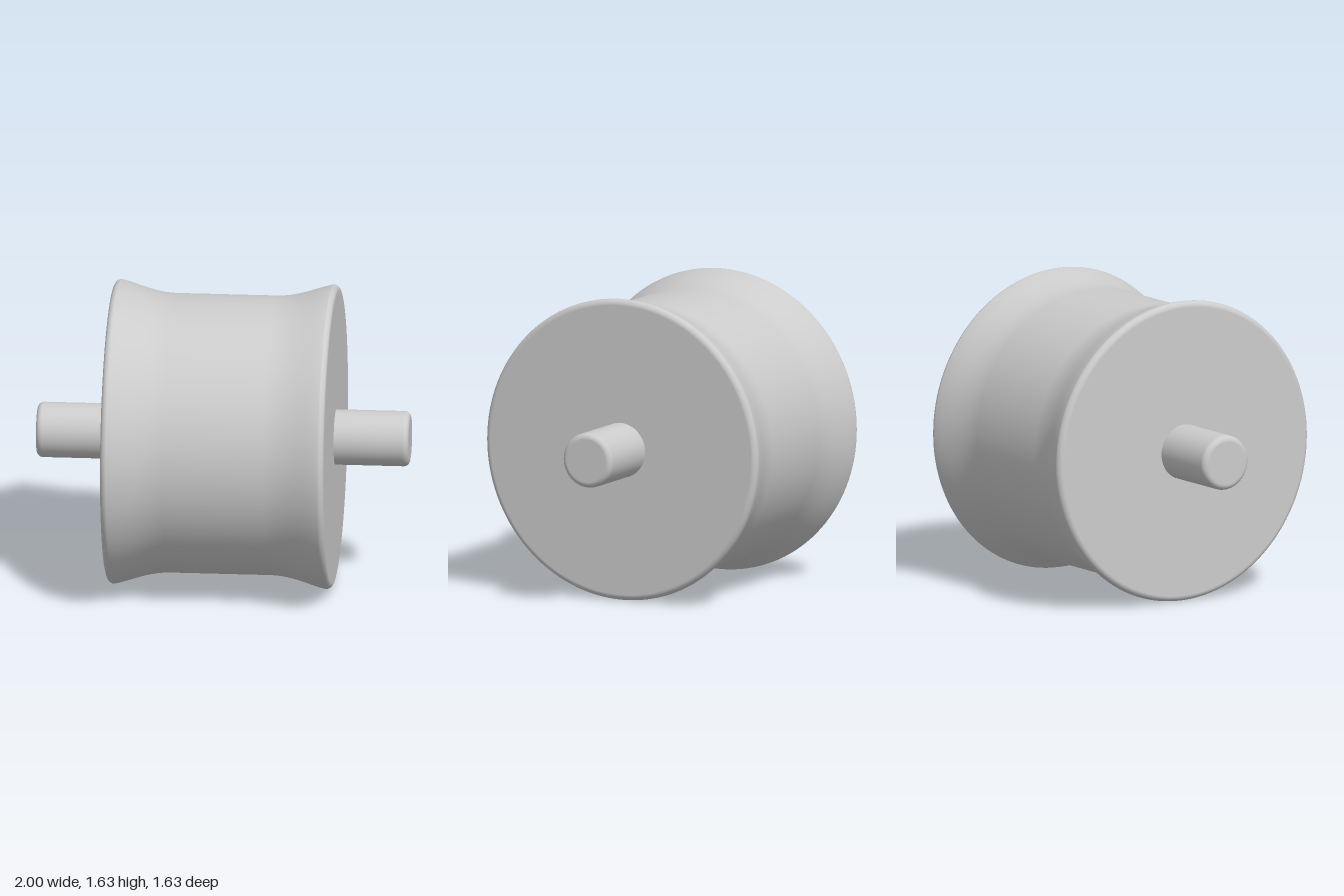
import * as THREE from 'three';

const RADIUS = 0.815;
const material = new THREE.MeshStandardMaterial({ color: 0xcccccc });

// Revolves half a profile (radius, position along x) and its mirror image around the x axis
function revolve(name, half, segments) {
  const mirrored = half.map(p => new THREE.Vector2(p.x, -p.y)).reverse();
  const geometry = new THREE.LatheGeometry([...half, ...mirrored], segments);
  geometry.rotateZ(-Math.PI / 2);
  const mesh = new THREE.Mesh(geometry, material);
  mesh.name = name;
  return mesh;
}

// Flat end disc followed by a rounded rim
function roundedEnd(radius, end, bevel) {
  const path = new THREE.Path();
  path.moveTo(0, end);
  path.lineTo(radius - bevel - 0.002, end);
  path.lineTo(radius - bevel, end);
  path.absarc(radius - bevel, end + bevel, bevel, -Math.PI / 2, 0, false);
  return path;
}

export function createModel() {
  const model = new THREE.Group();
  model.name = 'roller';

  // Drum: flared rims easing into a straight waist
  const drum = roundedEnd(RADIUS, -0.6, 0.032);
  drum.bezierCurveTo(0.8, -0.49, 0.748, -0.39, 0.748, -0.27);
  model.add(revolve('drum', drum.getPoints(14), 128));

  // Axle: one shaft through the drum with rounded ends
  const axle = roundedEnd(0.148, -1, 0.032);
  axle.lineTo(0.148, -0.6);
  model.add(revolve('axle', axle.getPoints(10), 64));

  model.children.forEach(part => { part.position.y = RADIUS; });
  return model;
}
